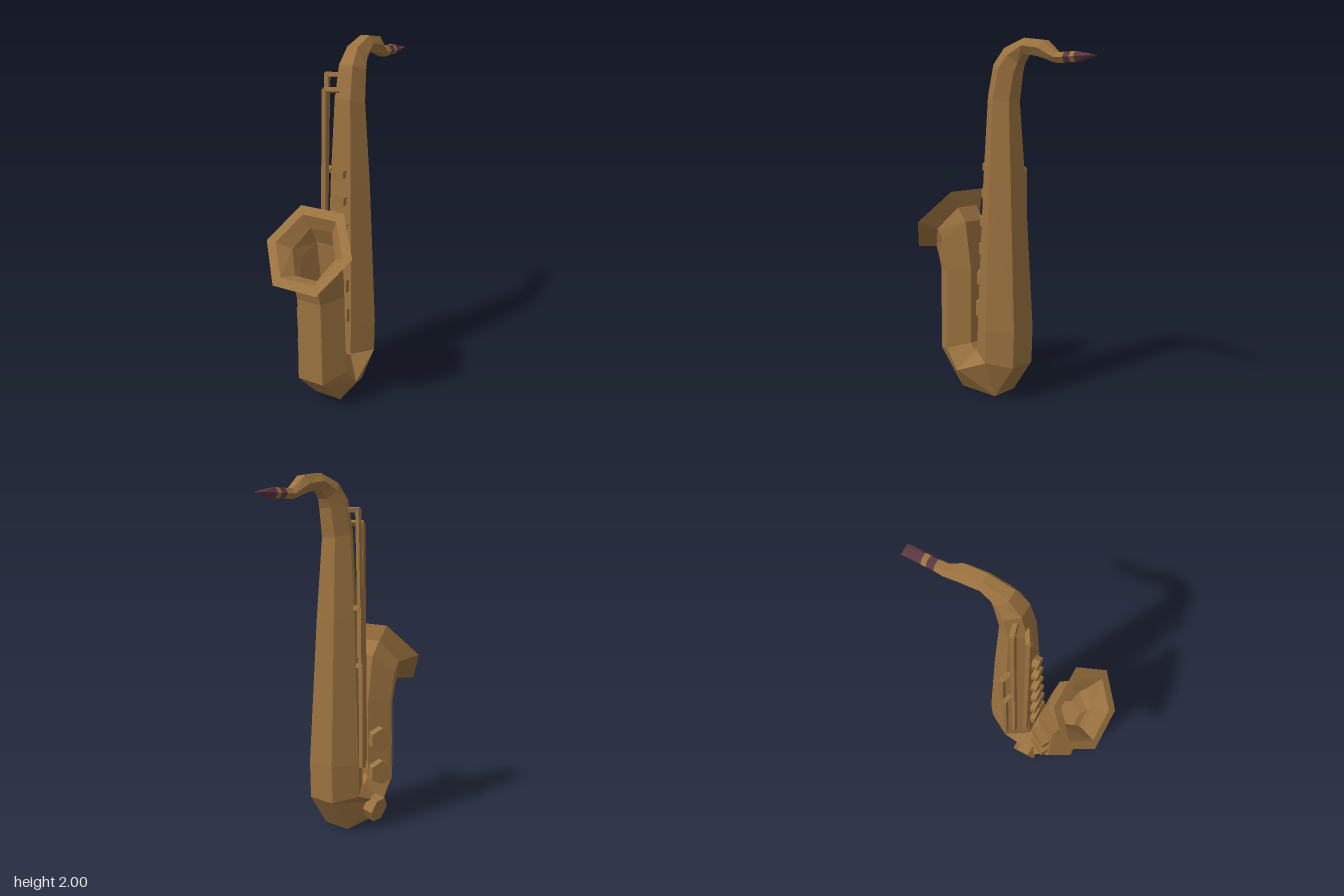
import * as THREE from 'three';

const brass = new THREE.MeshStandardMaterial({ color: 0x9c7340, flatShading: true });
const ebonite = new THREE.MeshStandardMaterial({ color: 0x5c3841, flatShading: true });
const V = (x, y, z) => new THREE.Vector3(x, y, z);

// A section is [outer z, outer y, inner z, inner y, half width, side z, side y]
function ring([pz, py, qz, qy, w, sz = (pz + qz) / 2, sy = (py + qy) / 2]) {
  const h = w / 2;
  return [V(h, py, pz), V(w, sy, sz), V(h, qy, qz), V(-h, qy, qz), V(-w, sy, sz), V(-h, py, pz)];
}

// Shrinks a section about its centre; k = 0 gives a closing point
function inset([pz, py, qz, qy, w], k) {
  const mz = (pz + qz) / 2, my = (py + qy) / 2;
  return [mz + (pz - mz) * k, my + (py - my) * k, mz + (qz - mz) * k, my + (qy - my) * k, w * k];
}

// Skins a row of six-sided sections with flat faces
function loft(name, sections, material) {
  const rings = sections.map(ring), pts = [];
  const tri = (a, b, c) => {
    const area = b.clone().sub(a).cross(c.clone().sub(a)).length();
    if (area > 1e-9) pts.push(a, b, c);
  };
  for (let r = 0; r < rings.length - 1; r++) {
    for (let i = 0; i < 6; i++) {
      const j = (i + 1) % 6;
      const a = rings[r][i], b = rings[r][j], c = rings[r + 1][j], d = rings[r + 1][i];
      tri(a, d, c);
      tri(a, c, b);
    }
  }
  const geometry = new THREE.BufferGeometry().setFromPoints(pts);
  geometry.computeVertexNormals();
  const mesh = new THREE.Mesh(geometry, material);
  mesh.name = name;
  return mesh;
}

// Six-sided key cup facing along a normal
function pad(name, r, depth, position, normal) {
  const mesh = new THREE.Mesh(new THREE.CylinderGeometry(r, r, depth, 6), brass);
  mesh.position.copy(position);
  mesh.quaternion.setFromUnitVectors(V(0, 1, 0), normal.normalize());
  mesh.name = name;
  return mesh;
}

// Square bar between two points
function bar(a, b, t) {
  const dir = b.clone().sub(a);
  const mesh = new THREE.Mesh(new THREE.BoxGeometry(t, dir.length() + t * 0.6, t), brass);
  mesh.position.copy(a).add(b).multiplyScalar(0.5);
  mesh.quaternion.setFromUnitVectors(V(0, 1, 0), dir.normalize());
  return mesh;
}

// Upright rod with a hook at its top that reaches the body
function keyRod(name, bottom, top, hook, t) {
  const g = new THREE.Group();
  g.name = name;
  g.add(bar(bottom, top, t), bar(top, hook, t));
  return g;
}

export function createModel() {
  const model = new THREE.Group();
  model.name = 'saxophone';

  // Bell, from the rim downwards
  const rim = [0.58, 0.815, 0.297, 1.165, 0.26];
  const throat = [0.48, 0.82, 0.295, 1.07, 0.155];
  const bend = [0.468, 0.78, 0.238, 0.99, 0.148];
  const shoulder = [0.445, 0.69, 0.2, 0.72, 0.145];
  const hollow = inset(shoulder, 0.65);
  model.add(loft('bell', [
    inset(hollow, 0), hollow, inset(bend, 0.72), inset(throat, 0.85), inset(rim, 0.78),
    rim, throat, bend, shoulder,
    [0.445, 0.2, 0.196, 0.28, 0.155],
  ], brass));

  // Bow joining the bell to the body
  model.add(loft('bow', [
    [0.445, 0.2, 0.196, 0.28, 0.155],
    [0.265, 0.003, 0.172, 0.25, 0.165, 0.23, 0.13],
    [0.005, 0.003, 0.15, 0.24, 0.165, 0.222, 0.13],
    [-0.13, 0.2, 0.143, 0.24, 0.162],
  ], brass));

  // Tapering body and curved neck
  model.add(loft('bodyAndNeck', [
    [-0.13, 0.2, 0.143, 0.24, 0.162],
    [-0.137, 0.41, 0.138, 0.41, 0.162],
    [-0.095, 1.23, 0.107, 1.25, 0.123],
    [-0.067, 1.67, 0.085, 1.7, 0.092],
    [-0.095, 1.825, 0.05, 1.87, 0.08],
    [-0.115, 1.87, -0.02, 1.955, 0.062],
    [-0.155, 1.918, -0.155, 2.0, 0.05],
    [-0.25, 1.9, -0.28, 1.982, 0.05],
    [-0.355, 1.863, -0.36, 1.915, 0.037],
    [-0.41, 1.863, -0.41, 1.915, 0.033],
  ], brass));

  // Mouthpiece with a brass band
  const collar = (z) => [z, 1.863, z, 1.915, 0.033];
  const tip = [-0.583, 1.886, -0.583, 1.893, 0.032];
  model.add(loft('mouthpieceCollar', [collar(-0.41), collar(-0.45)], ebonite));
  model.add(loft('mouthpieceBand', [collar(-0.45), collar(-0.478)], brass));
  model.add(loft('mouthpiece', [collar(-0.478), tip, inset(tip, 0)], ebonite));

  // Stack of key cups down the front of the body
  const stack = [[1.31, 0.038], [1.16, 0.045], [1.0, 0.052], [0.84, 0.06], [0.67, 0.072], [0.49, 0.08]];
  stack.forEach(([y, r], i) => {
    const front = 0.14 + i * 0.005;
    model.add(pad('frontKey' + (i + 1), r, 0.045, V(0, y, front - 0.0225), V(0, 0, 1)));
  });

  // Large cups on the bell tube and bow
  model.add(pad('bellKeyUpper', 0.072, 0.06, V(-0.13, 0.5, 0.245), V(-0.87, 0, -0.47)));
  model.add(pad('bellKeyLower', 0.072, 0.06, V(-0.13, 0.3, 0.245), V(-0.87, 0, -0.47)));
  model.add(pad('bowKey', 0.075, 0.065, V(-0.16, 0.11, 0.16), V(-0.98, -0.2, 0)));

  // Key rods along the right side
  model.add(keyRod('longRodSide', V(-0.142, 0.4, 0.065), V(-0.115, 1.815, 0.045), V(-0.06, 1.815, 0.03), 0.024));
  model.add(keyRod('longRodFront', V(-0.105, 0.4, 0.125), V(-0.087, 1.745, 0.115), V(-0.03, 1.745, 0.08), 0.024));
  model.add(keyRod('sideRodUpper', V(-0.168, 1.03, 0.005), V(-0.165, 1.29, 0.005), V(-0.11, 1.29, 0.02), 0.028));
  model.add(keyRod('sideRodLower', V(-0.172, 0.4, 0.02), V(-0.168, 0.97, 0.02), V(-0.12, 0.97, 0.03), 0.026));

  return model;
}
